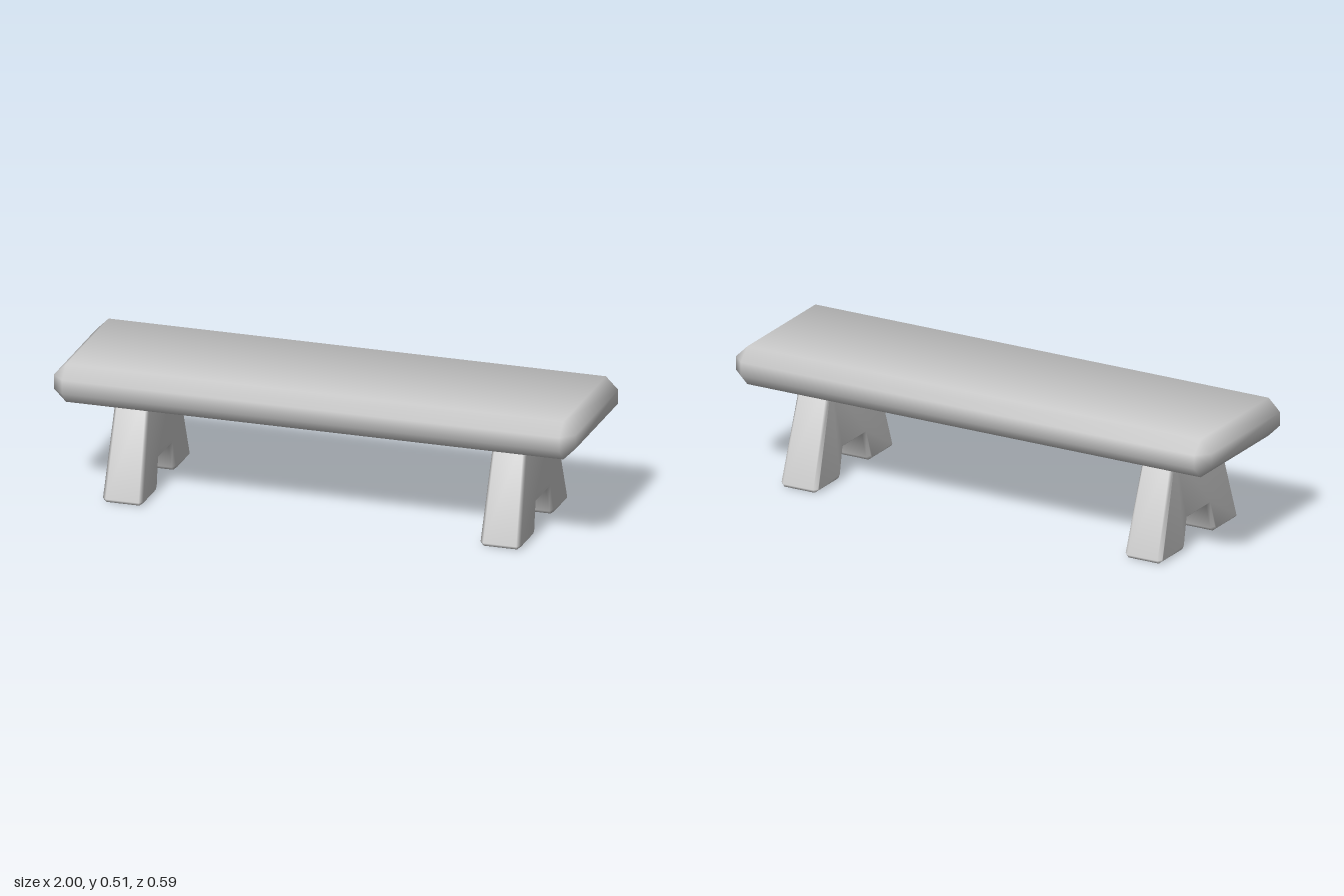
import * as THREE from 'three';
import { mergeVertices } from 'three/addons/utils/BufferGeometryUtils.js';
import { ConvexGeometry } from 'three/addons/geometries/ConvexGeometry.js';

const material = new THREE.MeshStandardMaterial({ color: 0xcccccc });

// Weld coincident corners so the shading runs smoothly over the bevels.
function weld(geometry) {
  geometry.deleteAttribute('normal');
  geometry.deleteAttribute('uv');
  const welded = mergeVertices(geometry, 1e-4);
  welded.computeVertexNormals();
  return welded;
}

// Box with flat 45 degree chamfers and soft normals, from its half sizes.
function chamferedBox(half, bevel) {
  const points = [];
  for (let axis = 0; axis < 3; axis++)
    for (const sx of [-1, 1]) for (const sy of [-1, 1]) for (const sz of [-1, 1]) {
      const p = half.map((h, i) => (i === axis ? h : h - bevel));
      points.push(new THREE.Vector3(p[0] * sx, p[1] * sy, p[2] * sz));
    }
  const geometry = weld(new ConvexGeometry(points));
  const pos = geometry.attributes.position;
  for (let i = 0; i < pos.count; i++) {
    const n = [pos.getX(i), pos.getY(i), pos.getZ(i)].map((v, k) =>
      Math.sign(v) * (Math.abs(v) > half[k] - bevel / 2 ? 1 : 0.39));
    geometry.attributes.normal.setXYZ(i, ...new THREE.Vector3(...n).normalize().toArray());
  }
  return geometry;
}

// Splayed trestle with a notch, bevelled all round and narrower at the top.
function legGeometry() {
  const side = [[0.157, 0.4], [0.2815, 0.013], [0.272, 0], [0.1195, 0], [0.1025, 0.015], [0.0775, 0.113]];
  const mirrored = side.map(([z, y]) => [-z, y]).reverse();
  const shape = new THREE.Shape([...mirrored, ...side].map(([z, y]) => new THREE.Vector2(z, y)));
  const width = 0.155, bevel = 0.014;
  const depth = width - 2 * bevel;
  const geometry = new THREE.ExtrudeGeometry(shape, {
    depth, bevelEnabled: true, bevelSegments: 1, bevelThickness: bevel, bevelSize: 0.011, bevelOffset: -0.011,
  });
  geometry.translate(0, 0, -depth / 2).rotateY(-Math.PI / 2);
  const pos = geometry.attributes.position;
  for (let i = 0; i < pos.count; i++) pos.setX(i, pos.getX(i) * (1 - 0.44 * pos.getY(i)));
  return weld(geometry);
}

export function createModel() {
  const bench = new THREE.Group();
  bench.name = 'bench';

  const seat = new THREE.Mesh(chamferedBox([1, 0.0735, 0.2945], 0.047), material);
  seat.name = 'seat';
  seat.position.y = 0.4335;
  bench.add(seat);

  // One trestle leg near each end
  const leg = legGeometry();
  for (const [name, x] of [['leftLeg', 0.721], ['rightLeg', -0.726]]) {
    const mesh = new THREE.Mesh(leg, material);
    mesh.name = name;
    mesh.position.set(x, 0, 0.003);
    bench.add(mesh);
  }
  return bench;
}
